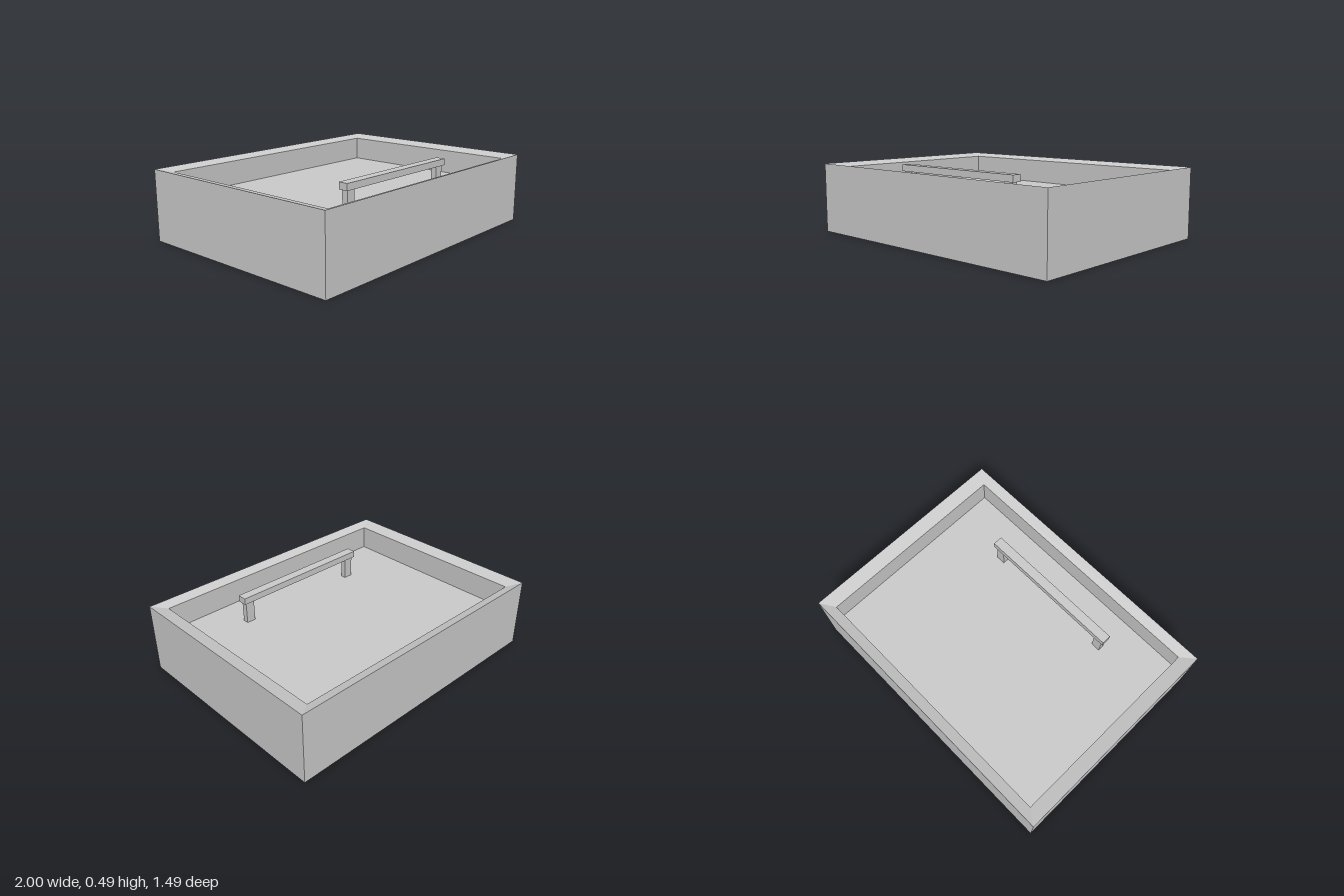
import * as THREE from 'three';

const material = new THREE.MeshStandardMaterial({ color: 0xcccccc, flatShading: true });

function addBox(parent, name, size, position) {
  const mesh = new THREE.Mesh(new THREE.BoxGeometry(...size), material);
  mesh.name = name;
  mesh.position.set(...position);
  parent.add(mesh);
}

// Rectangular tube: joins rectangular rings [halfX, halfZ, y] in a closed loop
function ringLoopGeometry(rings) {
  const corners = [[1, 1], [1, -1], [-1, -1], [-1, 1]];
  const point = (r, c) => {
    const [hx, hz, y] = rings[r % rings.length];
    const [sx, sz] = corners[c % 4];
    return [hx * sx, y, hz * sz];
  };
  const positions = [];
  for (let r = 0; r < rings.length; r++) {
    for (let c = 0; c < 4; c++) {
      const a = point(r, c), b = point(r, c + 1), d = point(r + 1, c + 1), e = point(r + 1, c);
      positions.push(...a, ...b, ...d, ...a, ...d, ...e);
    }
  }
  const geometry = new THREE.BufferGeometry();
  geometry.setAttribute('position', new THREE.Float32BufferAttribute(positions, 3));
  geometry.computeVertexNormals();
  return geometry;
}

export function createModel() {
  const model = new THREE.Group();
  model.name = 'framedPanelWithHandle';

  // Frame with rims that slope inward at top and bottom
  const frame = new THREE.Mesh(ringLoopGeometry([
    [1, 0.745, 0],
    [1, 0.745, 0.48],
    [0.905, 0.675, 0.457],
    [0.905, 0.675, 0.023],
  ]), material);
  frame.name = 'frame';
  model.add(frame);

  // Recessed panel filling the frame opening
  addBox(model, 'panel', [1.81, 0.125, 1.35], [0, 0.2275, 0]);

  // Handle: bar on two posts
  const handle = new THREE.Group();
  handle.name = 'handle';
  addBox(handle, 'handleBar', [1.01, 0.045, 0.065], [0, 0.4625, 0.4225]);
  for (const side of [-1, 1]) {
    addBox(handle, side > 0 ? 'leftHandlePost' : 'rightHandlePost',
      [0.064, 0.15, 0.04], [side * 0.457, 0.365, 0.4225]);
  }
  model.add(handle);

  return model;
}
